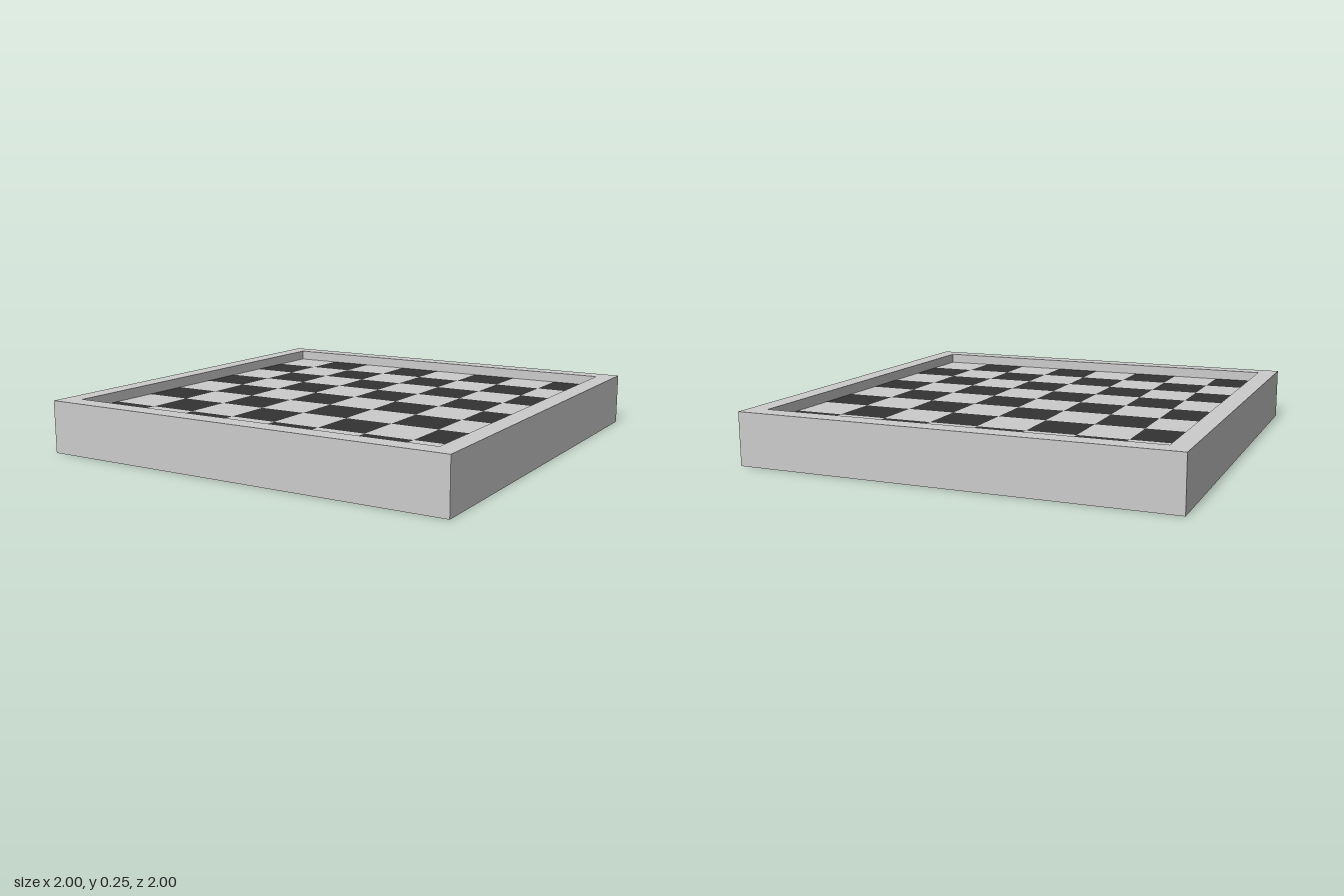
import * as THREE from 'three';

const OUTER = 1, INNER = 0.91, HEIGHT = 0.245, BOARD_Y = 0.197, N = 8;

const makeMaterial = (color) =>
  new THREE.MeshStandardMaterial({ color, flatShading: true, side: THREE.DoubleSide });

// Four upright walls around a square of the given half width
function squareWalls(half, name, material) {
  const geometry = new THREE.CylinderGeometry(half * Math.SQRT2, half * Math.SQRT2, HEIGHT, 4, 1, true, Math.PI / 4);
  const mesh = new THREE.Mesh(geometry, material);
  mesh.position.y = HEIGHT / 2;
  mesh.name = name;
  return mesh;
}

// Closed square outline, for the rim and its opening
function squarePath(path, h) {
  path.moveTo(-h, -h);
  path.lineTo(h, -h);
  path.lineTo(h, h);
  path.lineTo(-h, h);
  path.closePath();
  return path;
}

export function createModel() {
  const model = new THREE.Group();
  model.name = 'chessboard';
  const light = makeMaterial(0xcccccc);
  const dark = makeMaterial(0x333333);

  // Hollow frame, open underneath
  const frame = new THREE.Group();
  frame.name = 'frame';
  const ring = squarePath(new THREE.Shape(), OUTER);
  ring.holes.push(squarePath(new THREE.Path(), INNER));
  const rim = new THREE.Mesh(new THREE.ShapeGeometry(ring).rotateX(-Math.PI / 2), light);
  rim.position.y = HEIGHT;
  rim.name = 'topRim';
  frame.add(rim, squareWalls(OUTER, 'outerWalls', light), squareWalls(INNER, 'innerWalls', light));
  model.add(frame);

  // Recessed playing surface of alternating thin squares
  const board = new THREE.Group();
  board.name = 'playingSurface';
  const size = (2 * INNER) / N;
  const tile = new THREE.PlaneGeometry(size, size).rotateX(-Math.PI / 2);
  for (let row = 0; row < N; row++) {
    for (let col = 0; col < N; col++) {
      const isDark = (row + col) % 2 === 1;
      const square = new THREE.Mesh(tile, isDark ? dark : light);
      square.name = isDark ? 'darkSquare' : 'lightSquare';
      square.position.set(-INNER + (col + 0.5) * size, BOARD_Y, -INNER + (row + 0.5) * size);
      board.add(square);
    }
  }
  model.add(board);
  return model;
}
